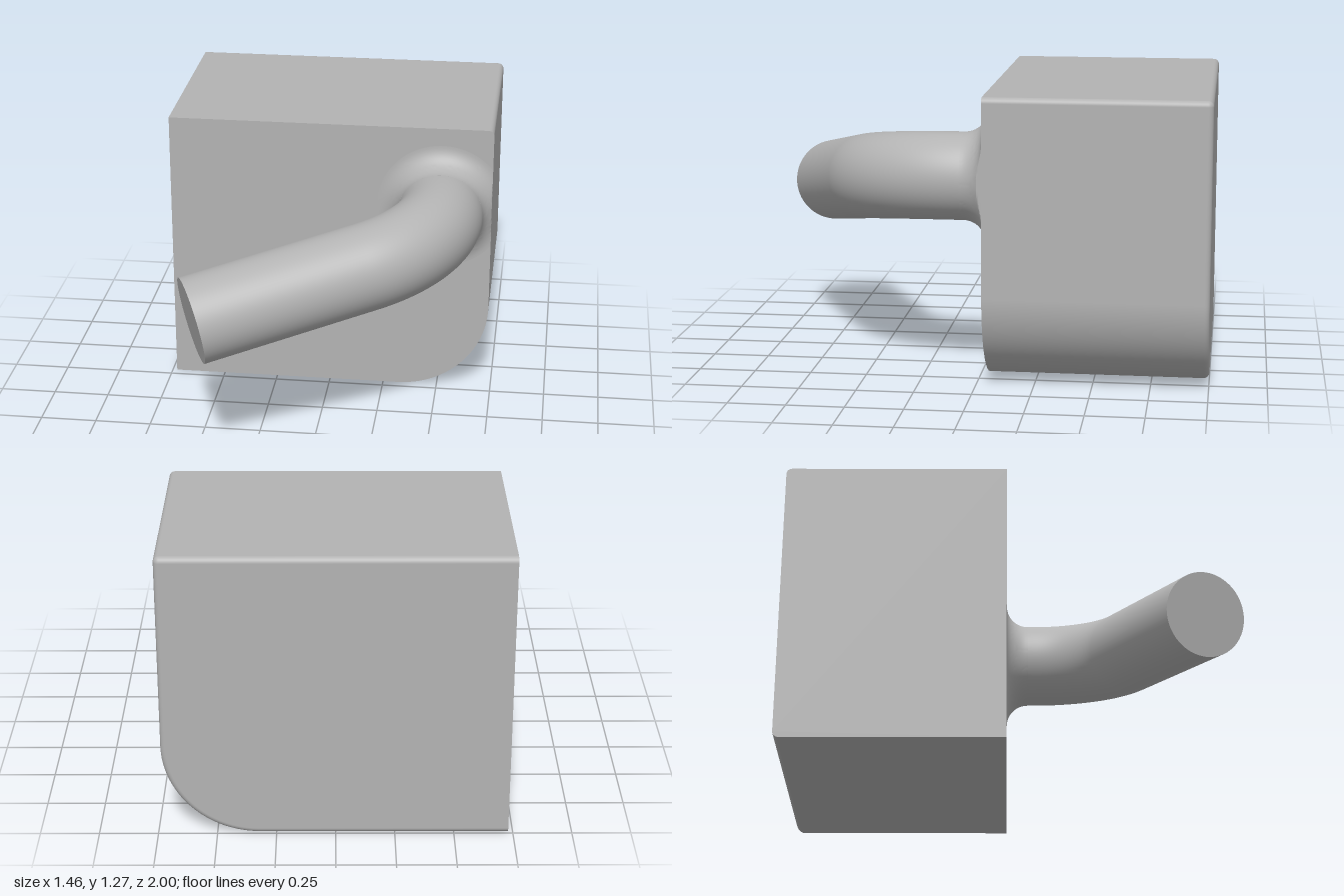
import * as THREE from 'three';
import { toCreasedNormals } from 'three/addons/utils/BufferGeometryUtils.js';

const W = 0.73, H = 1.27, FRONT = -0.04, BACK = -1;
const FILLET = 0.025, CORNER = 0.41;
const PIPE_R = 0.19, FLARE = 0.1, PX = 0.505, PY = 0.9;

// Block: open strip around bottom, right and top with a filleted back rim, plus flat faces
function blockGeometry() {
  const pos = [], nor = [], idx = [];
  // outline entries: arc centre, arc radius, outward angle
  const outline = [[-W, CORNER, CORNER, -Math.PI / 2]];
  const addArc = (cx, cy, r, a0, a1, n) => {
    for (let i = 0; i <= n; i++) outline.push([cx, cy, r, a0 + (a1 - a0) * i / n]);
  };
  addArc(W - CORNER, CORNER, CORNER, -Math.PI / 2, 0, 32);
  addArc(W - FILLET, H - FILLET, FILLET, 0, Math.PI / 2, 10);
  outline.push([-W, H - FILLET, FILLET, Math.PI / 2]);

  // levels along z: z, inset, fillet angle
  const levels = [[FRONT, 0, 0]];
  for (let i = 0; i <= 10; i++) {
    const f = Math.PI / 2 * i / 10;
    levels.push([BACK + FILLET * (1 - Math.sin(f)), FILLET * (1 - Math.cos(f)), f]);
  }
  const rings = levels.map(([z, inset, f]) => outline.map(([cx, cy, r, a]) => {
    const c = Math.cos(a), s = Math.sin(a);
    const p = [cx + (r - inset) * c, cy + (r - inset) * s, z];
    pos.push(...p);
    nor.push(c * Math.cos(f), s * Math.cos(f), -Math.sin(f));
    return p;
  }));
  const n = outline.length;
  for (let j = 0; j < rings.length - 1; j++) {
    for (let i = 0; i < n - 1; i++) {
      const a = j * n + i, b = a + 1, c = a + n, d = c + 1;
      idx.push(a, c, b, b, c, d);
    }
  }
  // flat convex faces as fans
  const fan = (points, normal) => {
    const base = pos.length / 3;
    points.forEach(p => { pos.push(...p); nor.push(...normal); });
    for (let i = 1; i < points.length - 1; i++) idx.push(base, base + i, base + i + 1);
  };
  fan(rings[0], [0, 0, 1]);
  fan([...rings[rings.length - 1]].reverse(), [0, 0, -1]);
  const low = rings.map(r => r[0]), high = rings.map(r => r[n - 1]);
  fan([...low.reverse(), ...high], [-1, 0, 0]);

  const g = new THREE.BufferGeometry();
  g.setAttribute('position', new THREE.Float32BufferAttribute(pos, 3));
  g.setAttribute('normal', new THREE.Float32BufferAttribute(nor, 3));
  g.setIndex(idx);
  return g;
}

// Concave flare at the pipe root, trimmed flush with the block's side
function flareGeometry() {
  const profile = [];
  for (let i = 0; i <= 14; i++) {
    const a = Math.PI / 2 * i / 14;
    profile.push(new THREE.Vector2(PIPE_R + FLARE * (1 - Math.sin(a)), FLARE * (1 - Math.cos(a))));
  }
  const g = new THREE.LatheGeometry(profile, 128);
  g.rotateX(Math.PI / 2).translate(PX, PY, FRONT);
  const p = g.attributes.position;
  for (let i = 0; i < p.count; i++) p.setX(i, Math.min(p.getX(i), W));
  return toCreasedNormals(g, 0.5);
}

export function createModel() {
  const group = new THREE.Group();
  const grey = new THREE.MeshStandardMaterial({ color: 0xb3b3b3 });
  grey.name = 'grey';
  const add = (name, geometry) => {
    const mesh = new THREE.Mesh(geometry, grey);
    mesh.name = name;
    group.add(mesh);
    return mesh;
  };

  add('block', blockGeometry());
  add('pipeFlare', flareGeometry());

  // Bent pipe: short straight, circular bend, long straight
  const bend = 0.32, handle = bend * 0.606;
  const corner = new THREE.Vector3(PX, PY, 0.4);
  const end = new THREE.Vector3(-0.483, 0.688, 0.825);
  const dir = end.clone().sub(corner).normalize();
  const along = t => corner.clone().addScaledVector(dir, t);
  const before = t => new THREE.Vector3(PX, PY, corner.z - t);
  const path = new THREE.CurvePath();
  path.add(new THREE.LineCurve3(new THREE.Vector3(PX, PY, FRONT + FLARE), before(bend)));
  path.add(new THREE.CubicBezierCurve3(before(bend), before(bend - handle), along(bend - handle), along(bend)));
  path.add(new THREE.LineCurve3(along(bend), end));
  add('pipe', new THREE.TubeGeometry(path, 96, PIPE_R, 64, false));

  // Flat pipe end
  const cap = add('pipeEnd', new THREE.CircleGeometry(PIPE_R, 64));
  cap.position.copy(end);
  cap.quaternion.setFromUnitVectors(new THREE.Vector3(0, 0, 1), dir);

  return group;
}
